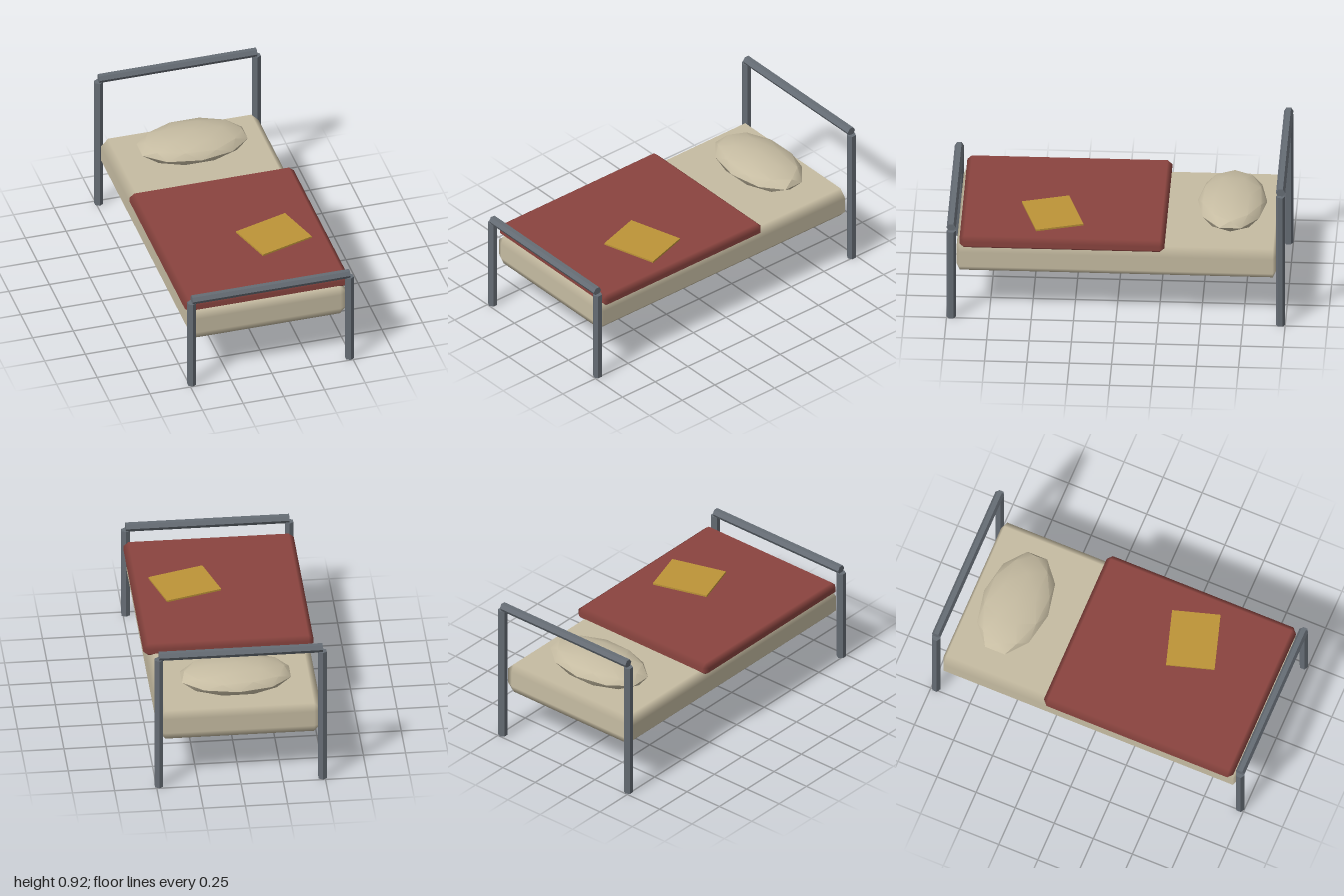
import * as THREE from 'three';
import { toCreasedNormals } from 'three/addons/utils/BufferGeometryUtils.js';
import { ConvexGeometry } from 'three/addons/geometries/ConvexGeometry.js';

const material = (name, color, flatShading = false) => {
  const m = new THREE.MeshStandardMaterial({ color, flatShading });
  m.name = name;
  return m;
};

// Box with chamfered edges; flat faces keep their own normal, chamfers blend between them
function chamferBox(size, inset) {
  const half = size.map((s) => s / 2);
  const points = [];
  for (let axis = 0; axis < 3; axis++)
    for (const sx of [-1, 1]) for (const sy of [-1, 1]) for (const sz of [-1, 1]) {
      const p = [sx, sy, sz].map((s, i) => s * (half[i] - (i === axis ? 0 : inset[i])));
      points.push(new THREE.Vector3(...p));
    }
  const geo = new ConvexGeometry(points);
  const pos = geo.attributes.position;
  const normal = geo.attributes.normal;
  for (let i = 0; i < pos.count; i++) {
    const n = [pos.getX(i), pos.getY(i), pos.getZ(i)]
      .map((v, a) => (Math.abs(v) > half[a] - 1e-4 ? Math.sign(v) : 0));
    normal.setXYZ(i, ...n);
  }
  return geo;
}

export function createModel() {
  const linen = material('linen', 0xc6bca2);
  const red = material('blanketRed', 0x8a443f);
  const mustard = material('mustard', 0xbd9438);
  const metal = material('frameMetal', 0x666d75, true);

  const bed = new THREE.Group();
  bed.name = 'bed';
  const add = (name, geo, mat, x, y, z) => {
    const mesh = new THREE.Mesh(geo, mat);
    mesh.name = name;
    mesh.position.set(x, y, z);
    bed.add(mesh);
    return mesh;
  };

  // Six-sided tube frame: two posts and a rail at each end
  const r = 0.0275, postX = 0.485;
  for (const [end, z, postTop, railY] of [['foot', 0.9725, 0.585, 0.604], ['head', -0.9725, 0.875, 0.896]]) {
    for (const [side, s] of [['Left', 1], ['Right', -1]])
      add(end + side + 'Post', new THREE.CylinderGeometry(r, r, postTop, 6), metal, s * postX, postTop / 2, z);
    const rail = new THREE.CylinderGeometry(r, r, postX * 2, 6).rotateZ(Math.PI / 2);
    add(end + 'Rail', rail, metal, 0, railY, z);
  }

  // Bedding
  add('mattress', chamferBox([0.97, 0.192, 1.89], [0.045, 0.048, 0.02]), linen, 0, 0.391, 0);
  add('blanket', chamferBox([1.01, 0.076, 1.21], [0.03, 0.025, 0.027]), red, 0, 0.507, 0.32);

  // Pillow: coarse sphere standing on a vertex, flattened
  const pillow = new THREE.IcosahedronGeometry(1, 1)
    .rotateZ(-Math.atan(2 / (1 + Math.sqrt(5))))
    .scale(0.34, 0.08, 0.205);
  add('pillow', toCreasedNormals(pillow, 0.55), linen, 0, 0.555, -0.665);

  // Small folded cloth lying on the blanket
  const cloth = add('cloth', new THREE.BoxGeometry(0.345, 0.012, 0.288), mustard, 0.193, 0.55, 0.388);
  cloth.rotation.y = 0.295;

  return bed;
}
